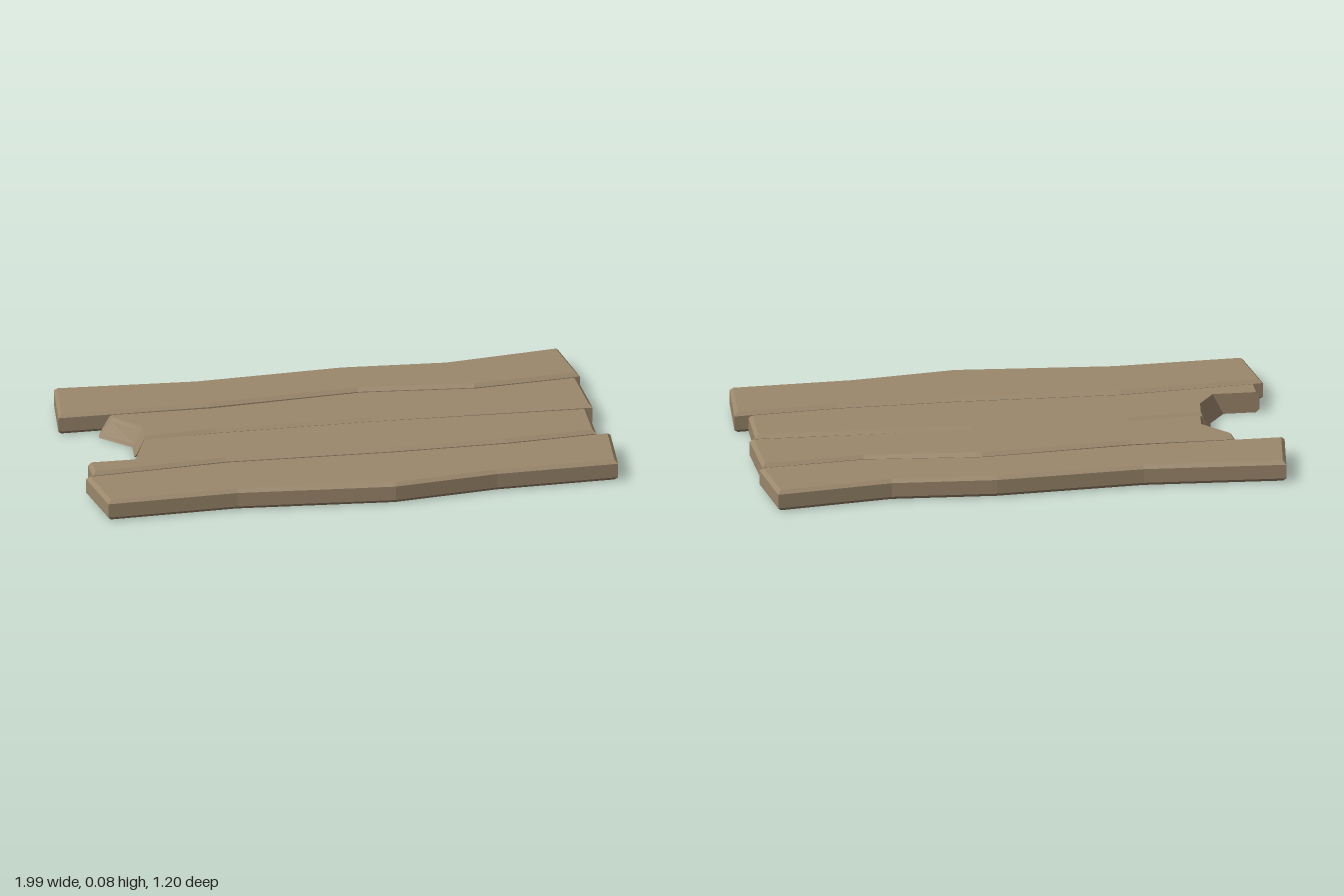
import * as THREE from 'three';

const H = 0.08; // plank thickness
const C = 0.013; // chamfer

// Outlines run clockwise seen from above: [x, z] or [x, z, xBottom, zBottom] on splintered ends
const PLANKS = {
  backPlank: [
    [-0.97, -0.54], [-0.44, -0.515], [0.115, -0.555], [0.505, -0.535], [0.94, -0.6],
    [0.975, -0.335], [0.57, -0.295], [0.14, -0.33], [-0.425, -0.28], [-1, -0.27],
  ],
  brokenBackPlank: [
    [-0.805, -0.25, -0.855, -0.24], [-0.43, -0.25], [0.14, -0.305], [0.575, -0.27], [0.96, -0.31],
    [0.97, -0.03], [0.14, -0.04], [-0.45, -0.03], [-0.72, -0.005, -0.76, 0],
    [-0.71, -0.105, -0.75, -0.105], [-0.805, -0.215, -0.855, -0.215],
  ],
  brokenFrontPlank: [
    [-0.725, 0.01, -0.76, 0.015], [-0.45, -0.01], [0.14, -0.02], [0.945, -0.005],
    [0.94, 0.22], [0.6, 0.25], [0.16, 0.26], [-0.46, 0.25], [-0.97, 0.3],
    [-0.97, 0.2, -0.97, 0.2], [-0.795, 0.2, -0.835, 0.2], [-0.735, 0.11, -0.775, 0.11],
  ],
  frontPlank: [
    [-1, 0.325], [-0.46, 0.275], [0.16, 0.285], [0.6, 0.275], [0.99, 0.24],
    [0.97, 0.52], [0.51, 0.54], [0.12, 0.595], [-0.47, 0.555], [-0.96, 0.58],
  ],
};

// Corner shift that insets each edge by the chamfer; splintered edges stay sharp
function cornerInsets(pts) {
  const n = pts.length;
  const edges = pts.map((p, i) => {
    const q = pts[(i + 1) % n];
    const dx = q[0] - p[0], dz = q[1] - p[1], l = Math.hypot(dx, dz);
    return { x: -dz / l, z: dx / l, d: p.length > 2 && q.length > 2 ? 0 : C };
  });
  return edges.map((b, i) => {
    const a = edges[(i + n - 1) % n];
    const det = a.x * b.z - a.z * b.x;
    if (Math.abs(det) < 0.02) return [b.x * b.d, b.z * b.d];
    return [(a.d * b.z - b.d * a.z) / det, (b.d * a.x - a.d * b.x) / det];
  });
}

function plankGeometry(pts) {
  const n = pts.length, inset = cornerInsets(pts), pos = [];
  const rings = [[0, 1], [C, 0], [H - C, 0], [H, 1]].map(([y, k]) => pts.map((p, i) => {
    const t = y / H, bx = p[2] ?? p[0], bz = p[3] ?? p[1];
    return [bx + (p[0] - bx) * t + inset[i][0] * k, y, bz + (p[1] - bz) * t + inset[i][1] * k];
  }));
  const tri = (a, b, c) => pos.push(...a, ...b, ...c);

  // Sides and chamfers
  for (let r = 0; r < 3; r++) {
    for (let i = 0; i < n; i++) {
      const j = (i + 1) % n, lo = rings[r], hi = rings[r + 1];
      tri(lo[i], hi[i], hi[j]);
      tri(lo[i], hi[j], lo[j]);
    }
  }

  // Top and underside
  for (const [ring, up] of [[rings[0], false], [rings[3], true]]) {
    const flat = ring.map((p) => new THREE.Vector2(p[0], p[2]));
    for (const f of THREE.ShapeUtils.triangulateShape(flat, [])) {
      const [a, b, c] = f.map((i) => ring[i]);
      const cross = (b[0] - a[0]) * (c[2] - a[2]) - (b[2] - a[2]) * (c[0] - a[0]);
      if ((cross < 0) === up) tri(a, b, c);
      else tri(a, c, b);
    }
  }

  const g = new THREE.BufferGeometry();
  g.setAttribute('position', new THREE.Float32BufferAttribute(pos, 3));
  g.computeVertexNormals(); // unshared corners give flat facets
  return g;
}

export function createModel() {
  const group = new THREE.Group();
  group.name = 'plankFloor';
  const wood = new THREE.MeshStandardMaterial({ color: 0x9c886c });
  wood.name = 'weathered wood';
  for (const [name, pts] of Object.entries(PLANKS)) {
    const mesh = new THREE.Mesh(plankGeometry(pts), wood);
    mesh.name = name;
    group.add(mesh);
  }
  return group;
}
